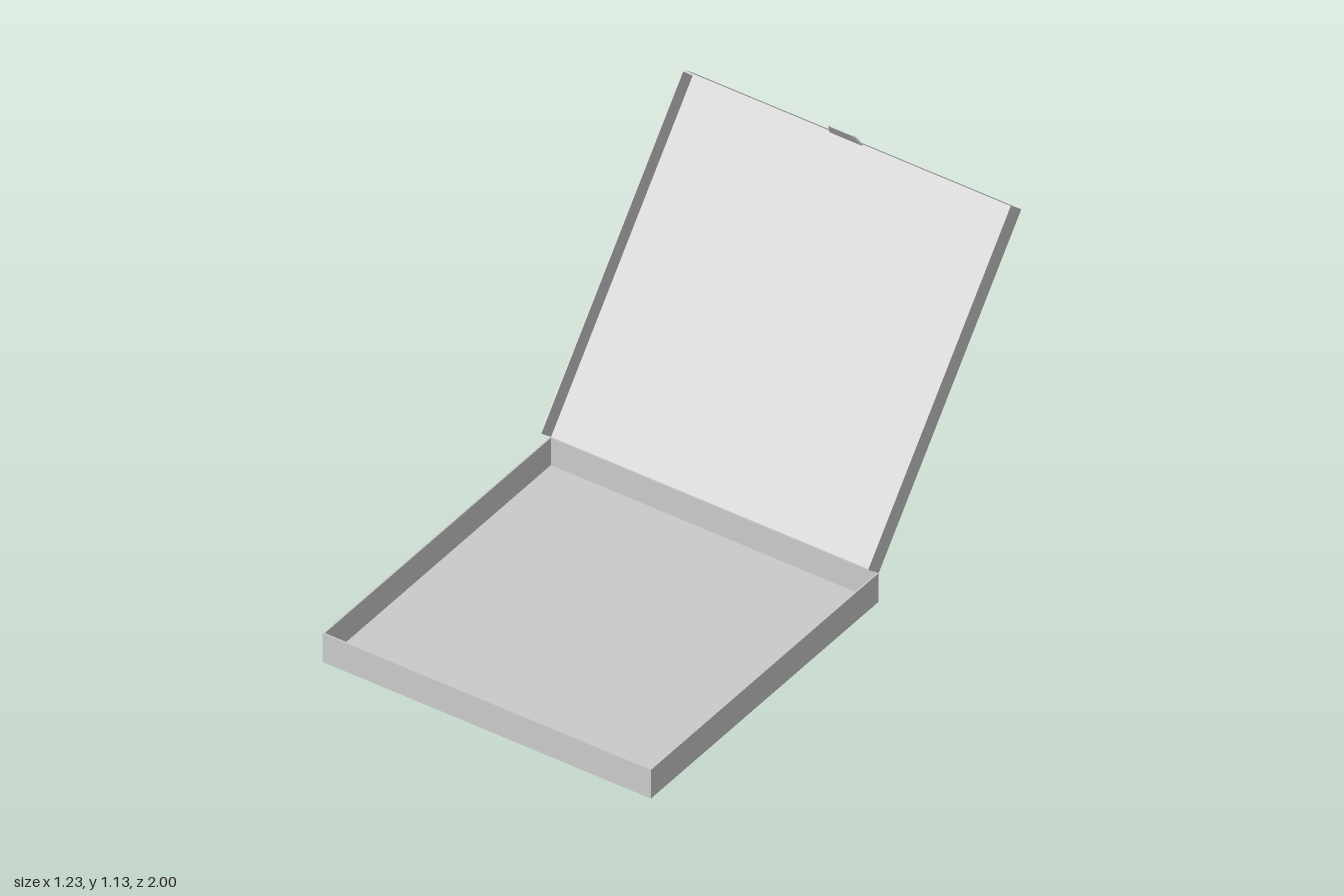
import * as THREE from 'three';

const WIDTH = 1.23, LENGTH = 1.23, BASE_H = 0.11;
const LID_LENGTH = 1.204, LID_H = 0.074, CARD = 0.005;
const HINGE_Z = -0.23, LID_ANGLE = 0.877;

const material = new THREE.MeshStandardMaterial({ color: 0xcccccc, side: THREE.DoubleSide });

function panel(parent, name, w, h, d, x, y, z) {
  const mesh = new THREE.Mesh(new THREE.BoxGeometry(w, h, d), material);
  mesh.name = name;
  mesh.position.set(x, y, z);
  parent.add(mesh);
}

// Tray with its back edge at z = 0; 'sign' is the direction it extends in z
function tray(name, length, height, sign, hasHingeWall) {
  const group = new THREE.Group();
  group.name = name;
  panel(group, name + 'Panel', WIDTH, CARD, length, 0, CARD / 2, sign * length / 2);
  for (const side of [-1, 1]) {
    panel(group, name + (side > 0 ? 'LeftWall' : 'RightWall'),
      CARD, height, length, side * (WIDTH - CARD) / 2, height / 2, sign * length / 2);
  }
  panel(group, name + 'FrontWall', WIDTH, height, CARD, 0, height / 2, sign * (length - CARD / 2));
  if (hasHingeWall) {
    panel(group, name + 'HingeWall', WIDTH, height, CARD, 0, height / 2, sign * CARD / 2);
  }
  return group;
}

export function createModel() {
  const model = new THREE.Group();
  model.name = 'openBox';

  // Base tray
  const base = tray('base', LENGTH, BASE_H, 1, true);
  base.position.z = HINGE_Z;
  model.add(base);

  // Lid tray, open at the hinge and tilted back
  const lid = tray('lid', LID_LENGTH, LID_H, -1, false);
  lid.position.set(0, BASE_H, HINGE_Z);
  lid.rotation.x = LID_ANGLE;
  model.add(lid);

  // Tapered closing tab with softened corners
  const shape = new THREE.Shape();
  shape.moveTo(-0.061, 0);
  shape.lineTo(-0.048, 0.05);
  shape.quadraticCurveTo(-0.046, 0.058, -0.039, 0.058);
  shape.lineTo(0.039, 0.058);
  shape.quadraticCurveTo(0.046, 0.058, 0.048, 0.05);
  shape.lineTo(0.061, 0);
  const tab = new THREE.Mesh(
    new THREE.ExtrudeGeometry(shape, { depth: CARD, bevelEnabled: false }), material);
  tab.name = 'closingTab';
  tab.position.set(0, LID_H - 0.001, -LID_LENGTH);
  tab.rotation.x = -0.33;
  lid.add(tab);

  return model;
}
